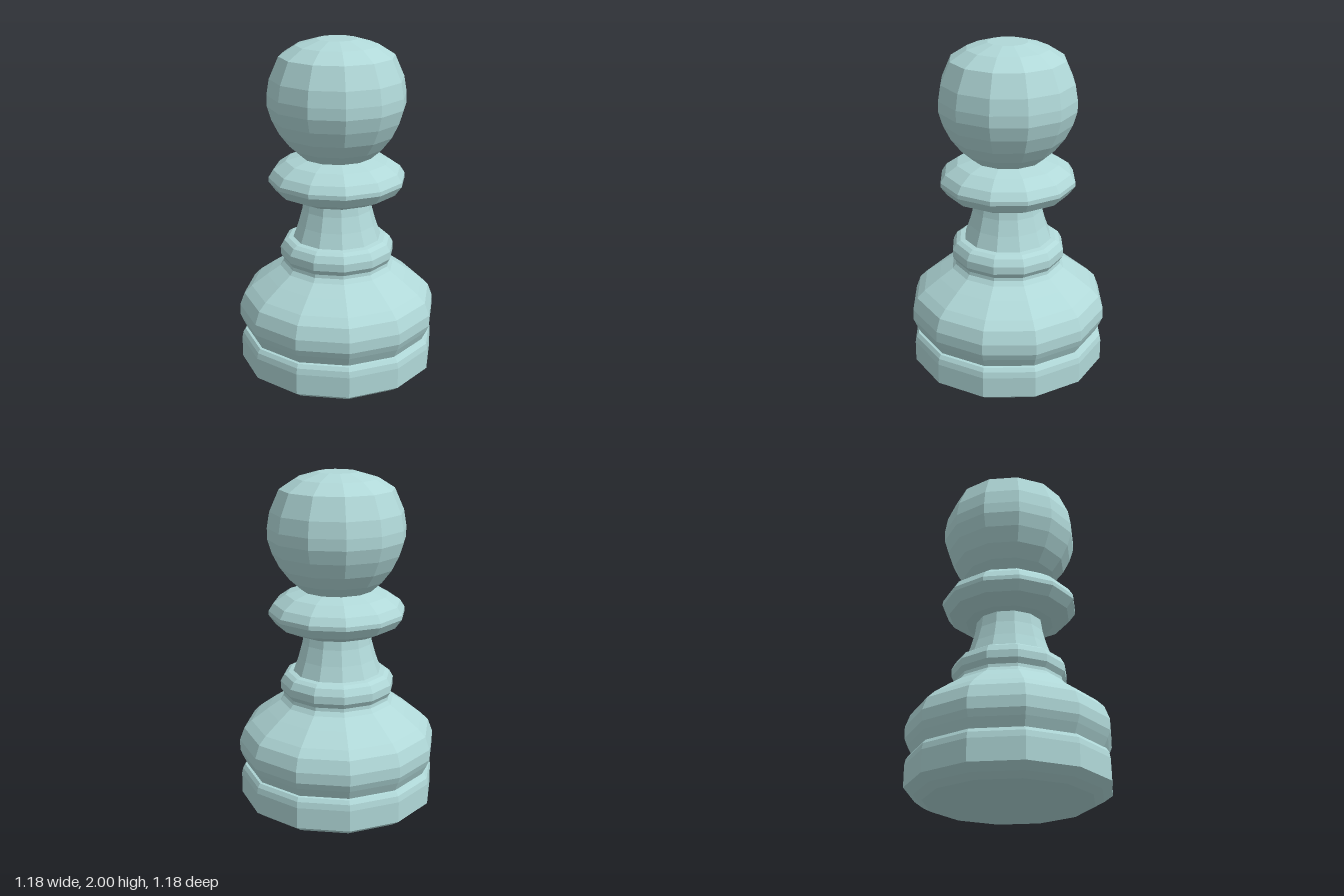
import * as THREE from 'three';

const SIDES = 12;

// Each part is a [radius, height] profile, listed bottom to top; neighbours share end points.
const PROFILES = {
  foot: [[0, 0], [0.48, 0], [0.53, 0.027], [0.582, 0.065], [0.582, 0.19], [0.575, 0.225], [0.56, 0.247], [0.545, 0.25]],
  body: [[0.545, 0.25], [0.572, 0.305], [0.588, 0.345], [0.588, 0.41], [0.56, 0.485], [0.515, 0.53],
    [0.42, 0.6], [0.34, 0.655], [0.32, 0.68], [0.318, 0.7]],
  waistRing: [[0.318, 0.7], [0.337, 0.73], [0.337, 0.775], [0.315, 0.815], [0.29, 0.83], [0.26, 0.835]],
  neck: [[0.26, 0.835], [0.23, 0.92], [0.205, 1.01], [0.195, 1.08]],
  collar: [[0.195, 1.08], [0.26, 1.08], [0.36, 1.125], [0.4, 1.18], [0.4, 1.205], [0.372, 1.25], [0.3, 1.3], [0.21, 1.327]],
  head: [[0.21, 1.327], [0.275, 1.385], [0.333, 1.46], [0.376, 1.545], [0.4, 1.625], [0.4, 1.69],
    [0.385, 1.78], [0.33, 1.905], [0.235, 1.965], [0.115, 2], [0, 2]],
};

export function createModel() {
  const model = new THREE.Group();
  model.name = 'chessPawn';

  const paleTeal = new THREE.MeshStandardMaterial({ color: 0xb0d8d8, flatShading: true });
  paleTeal.name = 'paleTeal';

  // Turn every profile around the vertical axis
  for (const [name, profile] of Object.entries(PROFILES)) {
    const points = profile.map(([r, y]) => new THREE.Vector2(r, y));
    const part = new THREE.Mesh(new THREE.LatheGeometry(points, SIDES), paleTeal);
    part.name = name;
    model.add(part);
  }
  return model;
}
